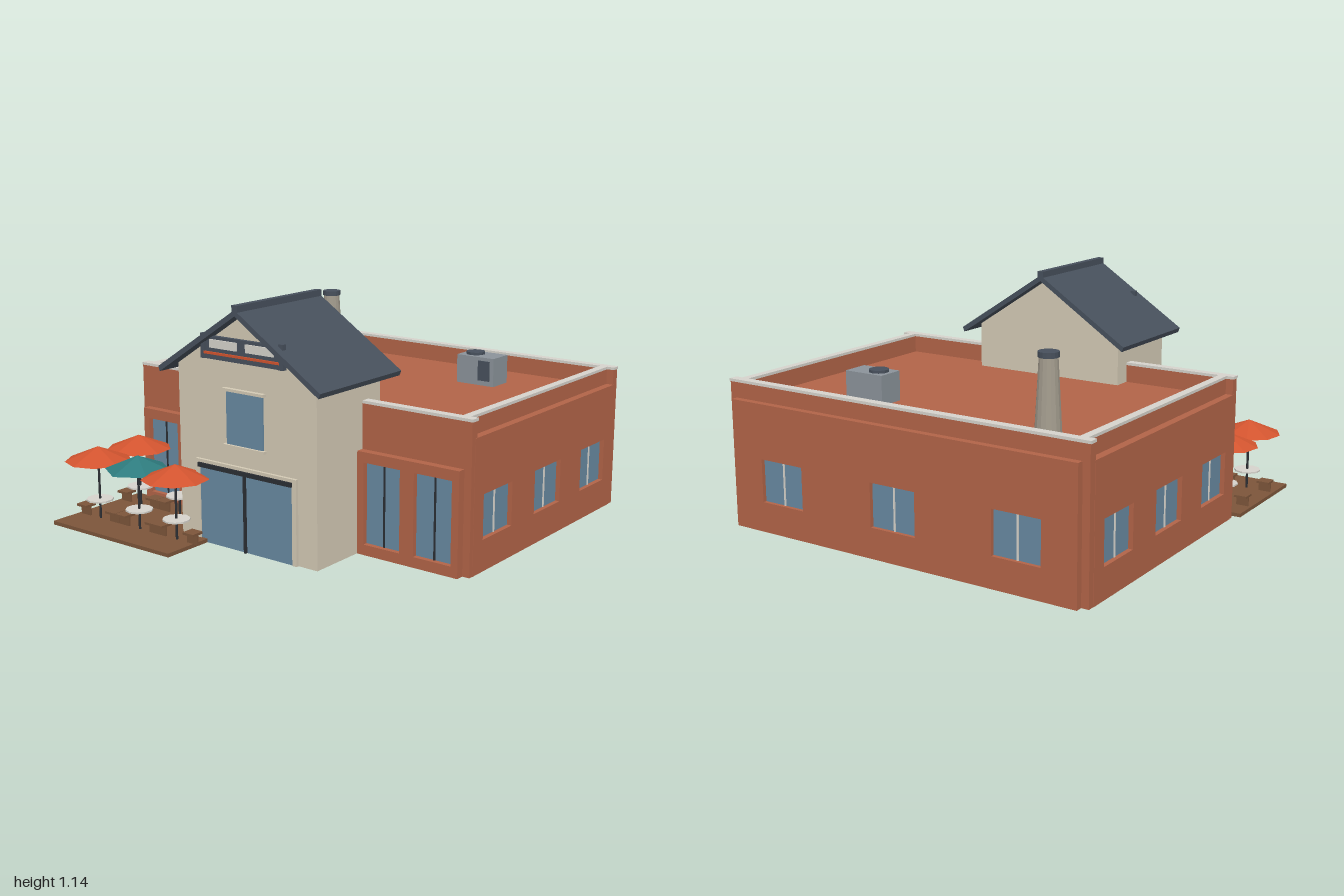
import * as THREE from 'three';

const mat = (color, double) => new THREE.MeshStandardMaterial({
  color, flatShading: true, side: double ? THREE.DoubleSide : THREE.FrontSide });
const brick = mat(0xb26448), cream = mat(0xd4cab5), glass = mat(0x6889a1), slate = mat(0x47505c);
const trim = mat(0xd6d3cc), dark = mat(0x2b2e33), wood = mat(0x7c553a), metal = mat(0x8b939a);
const stone = mat(0xa39c8e), red = mat(0xd2542f, true), teal = mat(0x2e7b7e, true);

function add(parent, name, geometry, material, x = 0, y = 0, z = 0) {
  const mesh = new THREE.Mesh(geometry, material);
  mesh.name = name;
  mesh.position.set(x, y, z);
  parent.add(mesh);
  return mesh;
}

// Box given by its lower and upper corner
const box = (parent, name, m, x0, x1, y0, y1, z0, z1) =>
  add(parent, name, new THREE.BoxGeometry(x1 - x0, y1 - y0, z1 - z0), m,
    (x0 + x1) / 2, (y0 + y1) / 2, (z0 + z1) / 2);

const disc = (parent, name, m, r0, r1, h, sides, x, y, z) =>
  add(parent, name, new THREE.CylinderGeometry(r1, r0, h, sides), m, x, y + h / 2, z);

function polygon(points) {
  return new THREE.Shape(points.map(([x, y]) => new THREE.Vector2(x, y)));
}

// Thickened wall skin with recessed windows; its outside faces local +z
function windowWall(parent, name, width, height, depth, win, mullion) {
  const group = new THREE.Group();
  group.name = name;
  parent.add(group);
  const shape = polygon([[-width / 2, 0], [width / 2, 0], [width / 2, height], [-width / 2, height]]);
  for (const c of win.centers) {
    const a = c - win.width / 2, b = c + win.width / 2;
    shape.holes.push(new THREE.Path([[a, win.y0], [a, win.y1], [b, win.y1], [b, win.y0]]
      .map(([x, y]) => new THREE.Vector2(x, y))));
    box(group, 'windowPane', glass, a, b, win.y0, win.y1, 0.002, 0.015);
    box(group, 'windowMullion', mullion, c - 0.004, c + 0.004, win.y0, win.y1, 0.015, 0.02);
  }
  add(group, 'wallSkin', new THREE.ExtrudeGeometry(shape, { depth, bevelEnabled: false }), brick);
  return group;
}

function buildHall(root) {
  const hall = new THREE.Group();
  hall.name = 'mainHall';
  root.add(hall);
  box(hall, 'hallBody', brick, -0.92, 0.96, 0, 0.61, -0.96, 0.385);
  // Parapets with pale coping
  for (const [z0, z1] of [[-0.966, -0.926], [0.35, 0.39]]) {
    box(hall, 'parapet', brick, -0.956, 0.996, 0, 0.695, z0, z1);
    box(hall, 'coping', trim, -0.96, 1.0, 0.695, 0.708, z0 - 0.002, z1 + 0.002);
  }
  for (const [x0, x1] of [[-0.92, -0.884], [0.924, 0.96]]) {
    box(hall, 'sideParapet', brick, x0, x1, 0.6, 0.695, -0.926, 0.35);
    box(hall, 'sideCoping', trim, x0 - 0.002, x1 + 0.002, 0.695, 0.708, -0.924, 0.348);
  }
  // Window walls on all four sides
  const small = { width: 0.245, y0: 0.147, y1: 0.355 };
  for (const s of [-1, 1]) {
    const wall = windowWall(hall, s > 0 ? 'leftWall' : 'rightWall', 1.296, 0.62, 0.038,
      { ...small, centers: [-0.448, 0, 0.448] }, trim);
    wall.rotation.y = s * Math.PI / 2;
    wall.position.set(0.02 + s * 0.94, 0, -0.282);
  }
  const back = windowWall(hall, 'backWall', 1.88, 0.62, 0.034,
    { ...small, centers: [-0.645, 0, 0.645] }, trim);
  back.rotation.y = Math.PI;
  back.position.set(0.02, 0, -0.966);
  const front = windowWall(hall, 'frontWall', 1.88, 0.484, 0.04,
    { centers: [-0.806, -0.539, 0.536, 0.806], width: 0.196, y0: 0.05, y1: 0.435 }, dark);
  front.position.set(0.02, 0, 0.39);

  // Chimney
  disc(hall, 'chimney', stone, 0.061, 0.042, 0.345, 16, -0.587, 0.61, -0.692);
  disc(hall, 'chimneyCap', slate, 0.047, 0.047, 0.025, 16, -0.587, 0.95, -0.692);
  // Rooftop cooling unit
  box(hall, 'coolingUnit', metal, 0.315, 0.527, 0.61, 0.752, -0.69, -0.557);
  disc(hall, 'coolingFan', slate, 0.048, 0.048, 0.013, 10, 0.382, 0.752, -0.624);
  box(hall, 'coolingGrille', slate, 0.44, 0.505, 0.635, 0.735, -0.557, -0.551);
}

function buildTower(root) {
  const tower = new THREE.Group();
  tower.name = 'gabledEntrance';
  tower.position.x = 0.018;
  root.add(tower);
  const extrude = (name, m, points, z0, z1) => add(tower, name,
    new THREE.ExtrudeGeometry(polygon(points), { depth: z1 - z0, bevelEnabled: false }), m, 0, 0, z0);
  extrude('entranceWalls', cream,
    [[-0.404, 0], [0.404, 0], [0.404, 0.842], [0, 1.1], [-0.404, 0.842]], 0.26, 0.72);
  extrude('gableRoof', slate, [[0, 1.097], [0.463, 0.795], [0.472, 0.818], [0, 1.125],
    [-0.472, 0.818], [-0.463, 0.795]], 0.19, 0.783);
  box(tower, 'ridgeCap', slate, -0.016, 0.016, 1.115, 1.145, 0.19, 0.783);

  // Large door with frame, header and centre joint
  for (const s of [-1, 1])
    box(tower, 'doorFrameSide', cream, s * 0.286 - 0.012, s * 0.286 + 0.012, 0, 0.4, 0.72, 0.735);
  box(tower, 'doorFrameTop', cream, -0.274, 0.274, 0.383, 0.4, 0.72, 0.735);
  box(tower, 'door', glass, -0.274, 0.274, 0, 0.37, 0.72, 0.729);
  box(tower, 'doorHeader', dark, -0.276, 0.276, 0.365, 0.385, 0.72, 0.746);
  box(tower, 'doorJoint', dark, -0.005, 0.005, 0, 0.365, 0.729, 0.742);

  // Upper window
  box(tower, 'upperWindow', glass, -0.106, 0.106, 0.497, 0.746, 0.72, 0.73);
  for (const y of [0.485, 0.744])
    box(tower, 'upperWindowLedge', cream, -0.12, 0.12, y, y + 0.013, 0.72, 0.742);

  // Blank sign board under the gable
  box(tower, 'signBoard', slate, -0.24, 0.24, 0.88, 0.955, 0.72, 0.74);
  box(tower, 'signTop', slate, -0.21, 0.21, 0.95, 0.985, 0.72, 0.74);
  box(tower, 'signStripe', red, -0.22, 0.22, 0.903, 0.914, 0.74, 0.748);
  for (const s of [-1, 1]) {
    box(tower, 'signPanel', trim, s * 0.106 - 0.08, s * 0.106 + 0.08, 0.933, 0.971, 0.74, 0.747);
    box(tower, 'signPost', slate, s * 0.227 - 0.013, s * 0.227 + 0.013, 0.88, 0.994, 0.722, 0.746);
  }
}

function buildTerrace(root) {
  const terrace = new THREE.Group();
  terrace.name = 'terrace';
  root.add(terrace);
  box(terrace, 'deck', wood, -0.99, -0.222, 0, 0.018, 0.417, 0.99);
  for (const z of [0.548, 0.82]) for (const x of [-0.842, -0.573, -0.33]) {
    const seating = new THREE.Group();
    seating.name = 'tableSet';
    seating.position.set(x, 0.018, z);
    terrace.add(seating);
    disc(seating, 'table', trim, 0.066, 0.066, 0.008, 10, 0, 0.093, 0);
    // Seats on both sides of the table
    for (const s of [-1, 1]) {
      box(seating, 'seat', wood, s * 0.1 - 0.033, s * 0.1 + 0.033, 0.045, 0.056, -0.033, 0.033);
      box(seating, 'seatSupport', wood, s * 0.1 - 0.031, s * 0.1 + 0.031, 0, 0.045, -0.005, 0.005);
    }
    // The middle table at the back has no parasol
    const middle = x === -0.573, bare = middle && z < 0.6;
    disc(seating, 'pole', dark, 0.006, 0.006, bare ? 0.093 : 0.34, 6, 0, 0, 0);
    if (!bare) add(seating, 'parasol',
      new THREE.ConeGeometry(0.16, 0.068, middle ? 6 : 9, 1, true), middle ? teal : red, 0, 0.328, 0);
  }
}

export function createModel() {
  const root = new THREE.Group();
  root.name = 'building';
  buildHall(root);
  buildTower(root);
  buildTerrace(root);
  return root;
}
